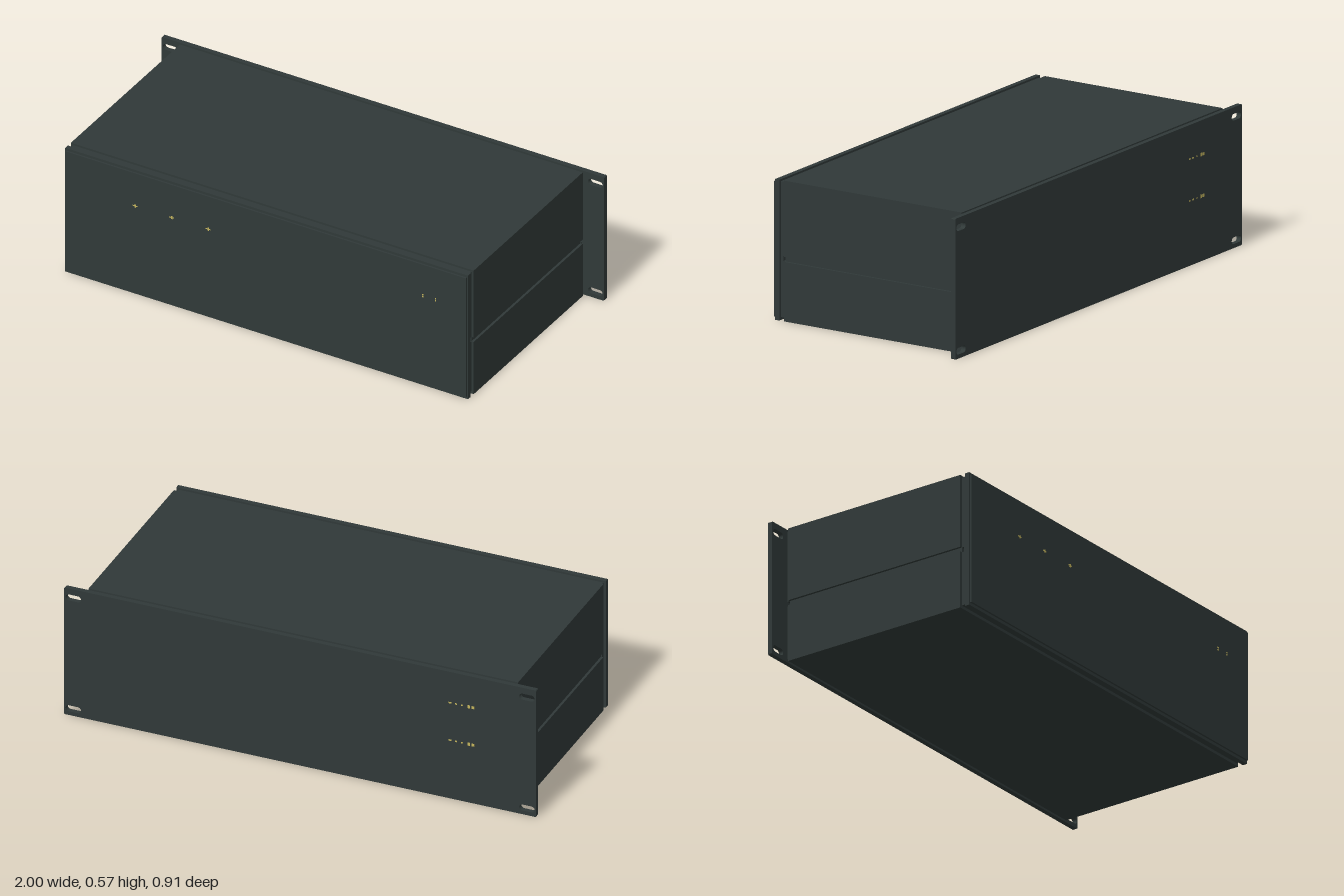
import * as THREE from 'three';

const H = 0.568;

export function createModel() {
  const model = new THREE.Group();
  model.name = 'rackEnclosure';
  const paint = new THREE.MeshStandardMaterial({ color: 0x303938 });
  paint.name = 'darkPaint';
  const gold = new THREE.MeshStandardMaterial({ color: 0xc4b45c });
  gold.name = 'goldMarking';

  // Box given by its limits on each axis
  function box(name, x0, x1, y0, y1, z0, z1, material = paint) {
    const mesh = new THREE.Mesh(new THREE.BoxGeometry(x1 - x0, y1 - y0, z1 - z0), material);
    mesh.position.set((x0 + x1) / 2, (y0 + y1) / 2, (z0 + z1) / 2);
    mesh.name = name;
    model.add(mesh);
  }

  // Upper and lower covers around a recessed side strip
  box('upperCover', -0.91, 0.91, 0.26, H, -0.425, 0.405);
  box('lowerCover', -0.91, 0.91, 0, 0.24, -0.425, 0.405);
  box('sideStrip', -0.9, 0.9, 0.24, 0.26, -0.425, 0.405);

  // Recessed frames at both ends, open at the height of the side strip
  for (const [z0, z1] of [[0.405, 0.416], [-0.436, -0.425]]) {
    box('lowerFrame', -0.9, 0.9, 0.012, 0.24, z0, z1);
    box('upperFrame', -0.9, 0.9, 0.26, 0.56, z0, z1);
  }
  box('frontFrame', -0.9, 0.9, 0.012, 0.56, 0.416, 0.428);

  // Front panel: flange and raised plate
  box('frontFlange', -0.91, 0.91, 0, H, 0.428, 0.448);
  box('frontPlate', -0.905, 0.905, 0.012, 0.558, 0.448, 0.456);

  // Wide mounting panel with four rounded slots
  const outline = new THREE.Shape();
  outline.moveTo(-1, 0.003);
  outline.lineTo(-0.997, 0);
  outline.lineTo(0.997, 0);
  outline.lineTo(1, 0.003);
  outline.lineTo(1, H - 0.003);
  outline.lineTo(0.997, H);
  outline.lineTo(-0.997, H);
  outline.lineTo(-1, H - 0.003);
  outline.closePath();
  const r = 0.0135;
  for (const x of [-0.961, 0.961]) {
    for (const y of [0.03, H - 0.04]) {
      const slot = new THREE.Path();
      slot.absarc(x + 0.019, y, r, -Math.PI / 2, Math.PI / 2, false);
      slot.absarc(x - 0.019, y, r, Math.PI / 2, Math.PI * 1.5, false);
      slot.closePath();
      outline.holes.push(slot);
    }
  }
  const panel = new THREE.Mesh(
    new THREE.ExtrudeGeometry(outline, { depth: 0.02, bevelEnabled: false, curveSegments: 10 }), paint);
  panel.position.z = -0.456;
  panel.name = 'mountingPanel';
  model.add(panel);

  // Small painted marks on the front
  for (const x of [-0.59, -0.425, -0.26]) {
    box('frontMark', x - 0.011, x + 0.011, 0.407, 0.411, 0.456, 0.457, gold);
    box('frontMark', x - 0.002, x + 0.004, 0.402, 0.416, 0.456, 0.457, gold);
  }
  for (const x of [0.71, 0.768]) {
    for (const y of [0.412, 0.421]) {
      box('frontDot', x - 0.003, x + 0.003, y - 0.003, y + 0.003, 0.456, 0.457, gold);
    }
  }

  // Two rows of small painted marks on the mounting panel
  for (const y of [0.43, 0.262]) {
    for (const [x, w, h] of [[-0.635, 0.012, 0.006], [-0.66, 0.008, 0.006], [-0.685, 0.008, 0.006],
      [-0.715, 0.01, 0.014], [-0.732, 0.012, 0.012]]) {
      box('rearMark', x - w / 2, x + w / 2, y - h / 2, y + h / 2, -0.457, -0.456, gold);
    }
  }
  return model;
}
